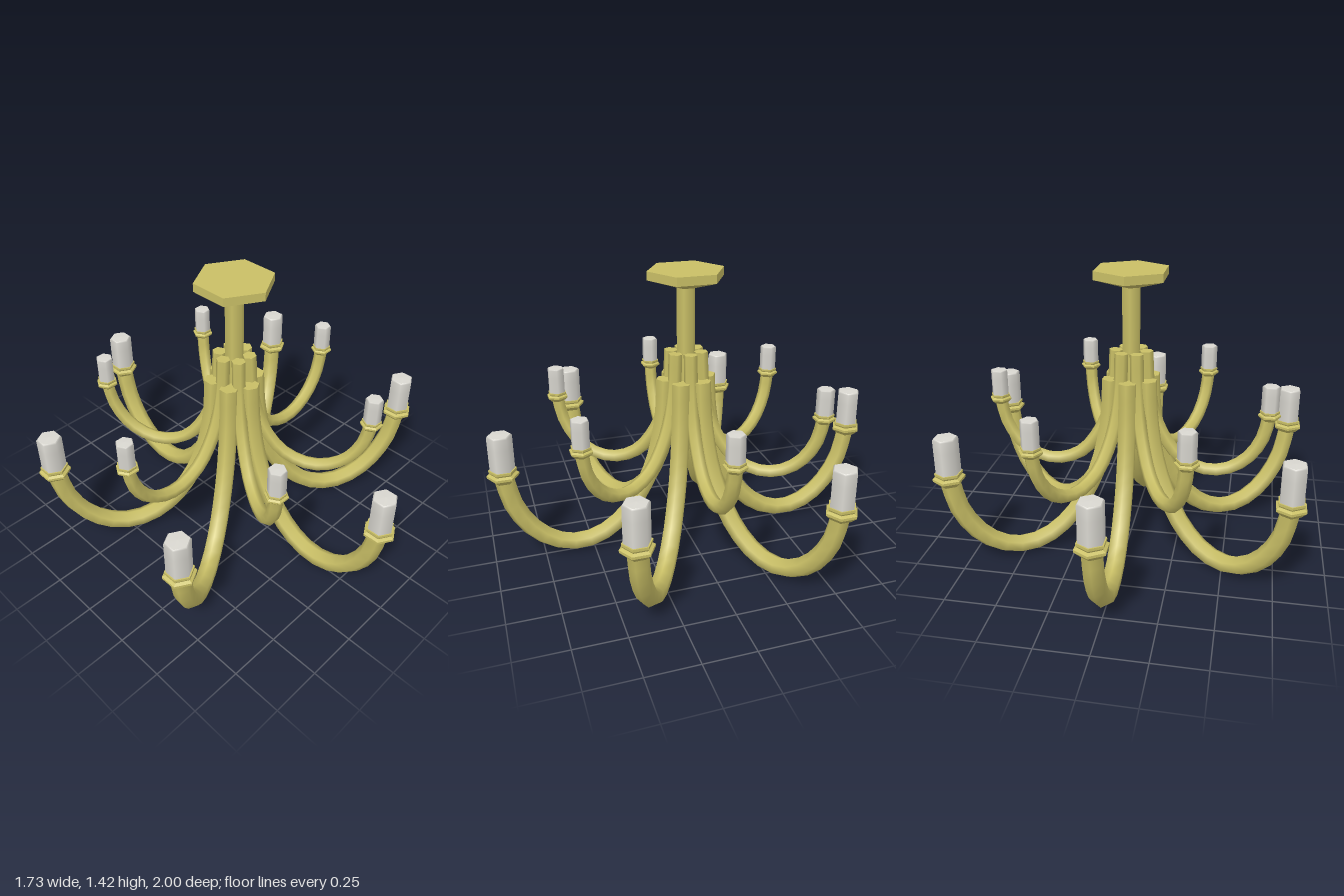
import * as THREE from 'three';

const brass = new THREE.MeshStandardMaterial({ color: 0xc9bf66 });
const brassFlat = new THREE.MeshStandardMaterial({ color: 0xc9bf66, flatShading: true });
const wax = new THREE.MeshStandardMaterial({ color: 0xd9d7d0 });

function mesh(name, geometry, material) {
  const m = new THREE.Mesh(geometry, material);
  m.name = name;
  return m;
}

function lathe(points) {
  return new THREE.LatheGeometry(points.map(([r, y]) => new THREE.Vector2(r, y)), 6);
}

// Bends a capped hexagonal cylinder along a curve in the plane x = 0
function bentTube(profile, radius, steps) {
  const curve = new THREE.CatmullRomCurve3(profile.map(([r, y]) => new THREE.Vector3(0, y, r)));
  const geo = new THREE.CylinderGeometry(radius, radius, 1, 6, steps);
  const pos = geo.attributes.position, nor = geo.attributes.normal;
  const v = new THREE.Vector3();
  const side = new THREE.Vector3(1, 0, 0);
  for (let i = 0; i < pos.count; i++) {
    const t = THREE.MathUtils.clamp(0.5 - pos.getY(i), 0, 1);
    const back = curve.getTangentAt(t).negate();
    const out = new THREE.Vector3().crossVectors(side, back);
    const basis = new THREE.Matrix4().makeBasis(side, back, out);
    v.set(pos.getX(i), 0, pos.getZ(i)).applyMatrix4(basis).add(curve.getPointAt(t));
    pos.setXYZ(i, v.x, v.y, v.z);
    v.fromBufferAttribute(nor, i).applyMatrix4(basis);
    nor.setXYZ(i, v.x, v.y, v.z);
  }
  return geo;
}

// Cup and candle, with the origin at the underside of the cup
const cupGeo = lathe([[0, 0], [0.05, 0], [0.077, 0.026], [0.077, 0.038],
  [0.062, 0.046], [0.067, 0.054], [0.067, 0.066], [0, 0.066]]);
const candleGeo = lathe([[0.06, 0.06], [0.06, 0.12], [0.06, 0.18], [0.06, 0.238],
  [0.054, 0.245], [0.054, 0.245], [0, 0.248]]);

function armTier(name, { profile, radius, cupScale, cupY, turn }) {
  const tier = new THREE.Group();
  tier.name = name;
  const armGeo = bentTube(profile, radius, 20);
  const reach = profile[profile.length - 1][0];
  for (let k = 0; k < 6; k++) {
    const arm = new THREE.Group();
    arm.name = 'candleArm';
    arm.add(mesh('curvedArm', armGeo, brass));
    const holder = new THREE.Group();
    holder.name = 'candleHolder';
    holder.add(mesh('cup', cupGeo, brassFlat), mesh('candle', candleGeo, wax));
    holder.position.set(0, cupY, reach);
    holder.scale.setScalar(cupScale);
    arm.add(holder);
    arm.rotation.y = turn + k * Math.PI / 3;
    tier.add(arm);
  }
  return tier;
}

export function createModel() {
  const model = new THREE.Group();
  model.name = 'chandelier';

  // Ceiling plate and stem
  model.add(mesh('ceilingPlate',
    lathe([[0, 1.335], [0.05, 1.335], [0.19, 1.378], [0.19, 1.42], [0, 1.42]]), brassFlat));
  const stem = mesh('stem', new THREE.CylinderGeometry(0.046, 0.046, 0.5, 6), brass);
  stem.position.y = 1.1;
  model.add(stem);

  // Lower tier of large arms
  model.add(armTier('lowerTier', {
    profile: [[0.105, 0.885], [0.118, 0.68], [0.165, 0.46], [0.235, 0.3], [0.33, 0.165],
      [0.45, 0.075], [0.57, 0.047], [0.69, 0.077], [0.8, 0.165], [0.885, 0.31], [0.922, 0.48]],
    radius: 0.047, cupScale: 1, cupY: 0.452, turn: 0,
  }));

  // Upper tier of small arms, set between the large ones
  model.add(armTier('upperTier', {
    profile: [[0.075, 1.02], [0.085, 0.85], [0.12, 0.68], [0.175, 0.56], [0.25, 0.465],
      [0.335, 0.417], [0.42, 0.403], [0.515, 0.428], [0.6, 0.495], [0.66, 0.6], [0.685, 0.72]],
    radius: 0.034, cupScale: 0.72, cupY: 0.7, turn: Math.PI / 6,
  }));

  return model;
}
